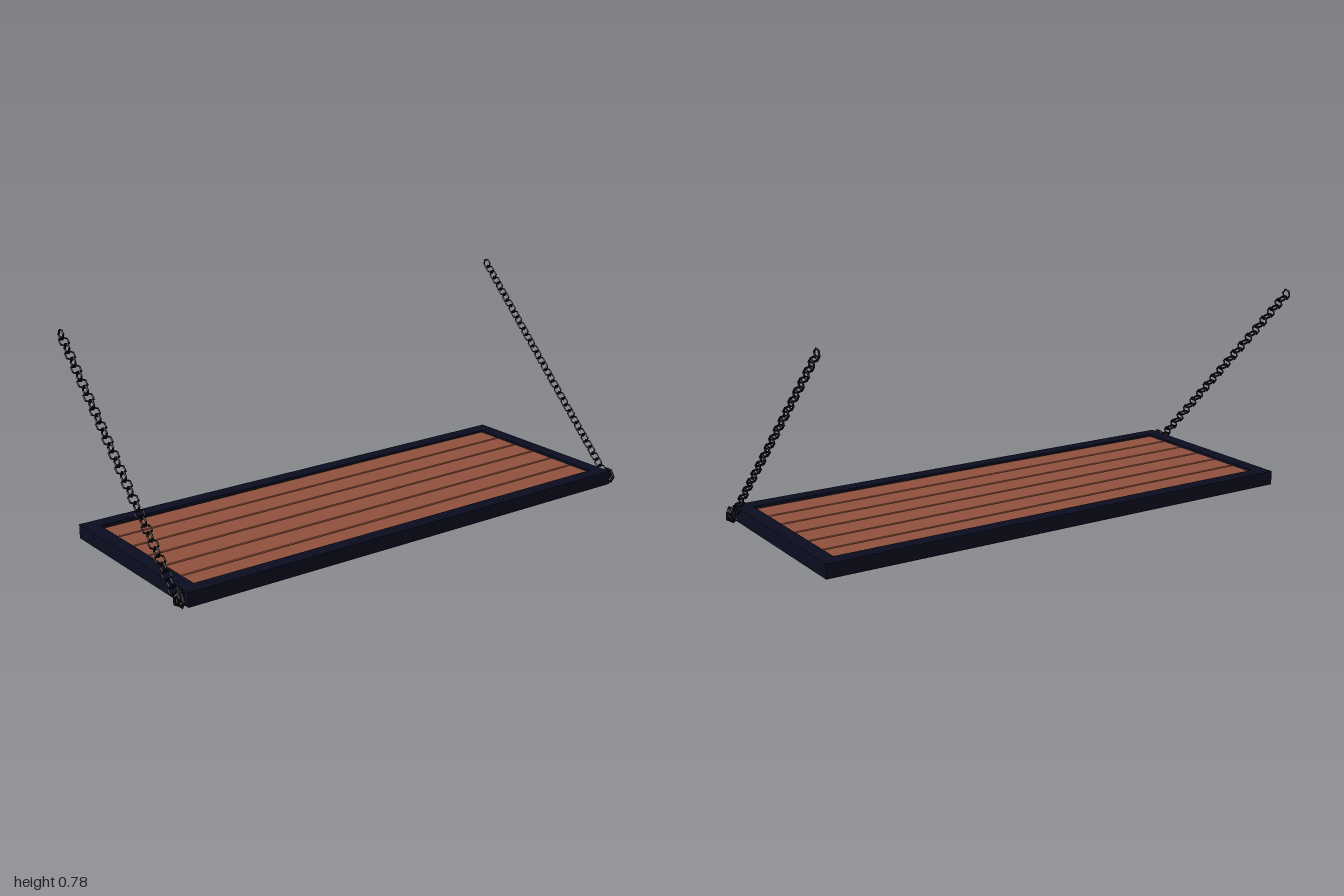
import * as THREE from 'three';

const frameMat = new THREE.MeshStandardMaterial({ color: 0x0b0d20, flatShading: true });
frameMat.name = 'dark iron frame';
const chainMat = new THREE.MeshStandardMaterial({ color: 0x0a0a16, flatShading: true });
chainMat.name = 'black chain';
const woodMat = new THREE.MeshStandardMaterial({ color: 0x91523d, flatShading: true });
woodMat.name = 'red brown wood';

function add(parent, name, geometry, material, x = 0, y = 0, z = 0) {
  const mesh = new THREE.Mesh(geometry, material);
  mesh.name = name;
  mesh.position.set(x, y, z);
  parent.add(mesh);
  return mesh;
}

// Plank with chamfered long edges, running along z
function plankGeometry(width, height, length, chamfer) {
  const w = width / 2, h = height / 2, c = chamfer;
  const outline = [[-w + c, -h], [w - c, -h], [w, -h + c], [w, h - c],
    [w - c, h], [-w + c, h], [-w, h - c], [-w, -h + c]];
  const shape = new THREE.Shape(outline.map(([x, y]) => new THREE.Vector2(x, y)));
  return new THREE.ExtrudeGeometry(shape, { depth: length, bevelEnabled: false })
    .translate(0, 0, -length / 2);
}

export function createModel() {
  const model = new THREE.Group();
  model.name = 'drawbridge';

  // Frame
  const frame = new THREE.Group();
  frame.name = 'frame';
  model.add(frame);
  const midX = 0.017, midY = 0.033, height = 0.053, bar = 0.055;
  for (const s of [-1, 1]) {
    add(frame, 'longBeam', new THREE.BoxGeometry(bar, height, 1.92), frameMat,
      midX + s * 0.345, midY, 0);
    add(frame, 'endBeam', new THREE.BoxGeometry(0.635, height, bar), frameMat,
      midX, midY, s * 0.9325);
  }

  // Planks, set very slightly askew in the frame
  const deck = new THREE.Group();
  deck.name = 'deck';
  model.add(deck);
  const plank = plankGeometry(0.1055, 0.036, 1.82, 0.004);
  for (let i = 0; i < 6; i++) {
    const mesh = add(deck, 'plank', plank, woodMat, 0.019 + (i - 2.5) * 0.107, midY, 0);
    mesh.rotation.y = 0.009;
  }

  // Chains: six-sided links, every second one turned a quarter
  const link = new THREE.TorusGeometry(0.0185, 0.004, 4, 6);
  const anchor = new THREE.TorusGeometry(0.027, 0.006, 4, 6);
  const eye = new THREE.TorusGeometry(0.026, 0.006, 4, 6);
  for (const s of [-1, 1]) {
    const chain = new THREE.Group();
    chain.name = s > 0 ? 'frontChain' : 'backChain';
    chain.position.set(0.35, 0.03, s * 0.978);
    chain.rotation.z = Math.PI * 0.75;
    model.add(chain);
    for (let i = 0; i <= 36; i++) {
      add(chain, 'link', link, chainMat, i * 0.0285, 0, 0).rotation.x = (i % 2) * Math.PI / 2;
    }

    // Rings that fix the chain to the frame
    add(model, 'anchorRing', anchor, chainMat, 0.367, 0.033, s * 0.978);
    const ring = add(model, 'eyeRing', eye, chainMat, 0.362, 0.033, s * 0.972);
    ring.rotation.set(0, Math.PI / 2, Math.PI / 6);
    ring.rotation.order = 'YXZ';
  }
  return model;
}
